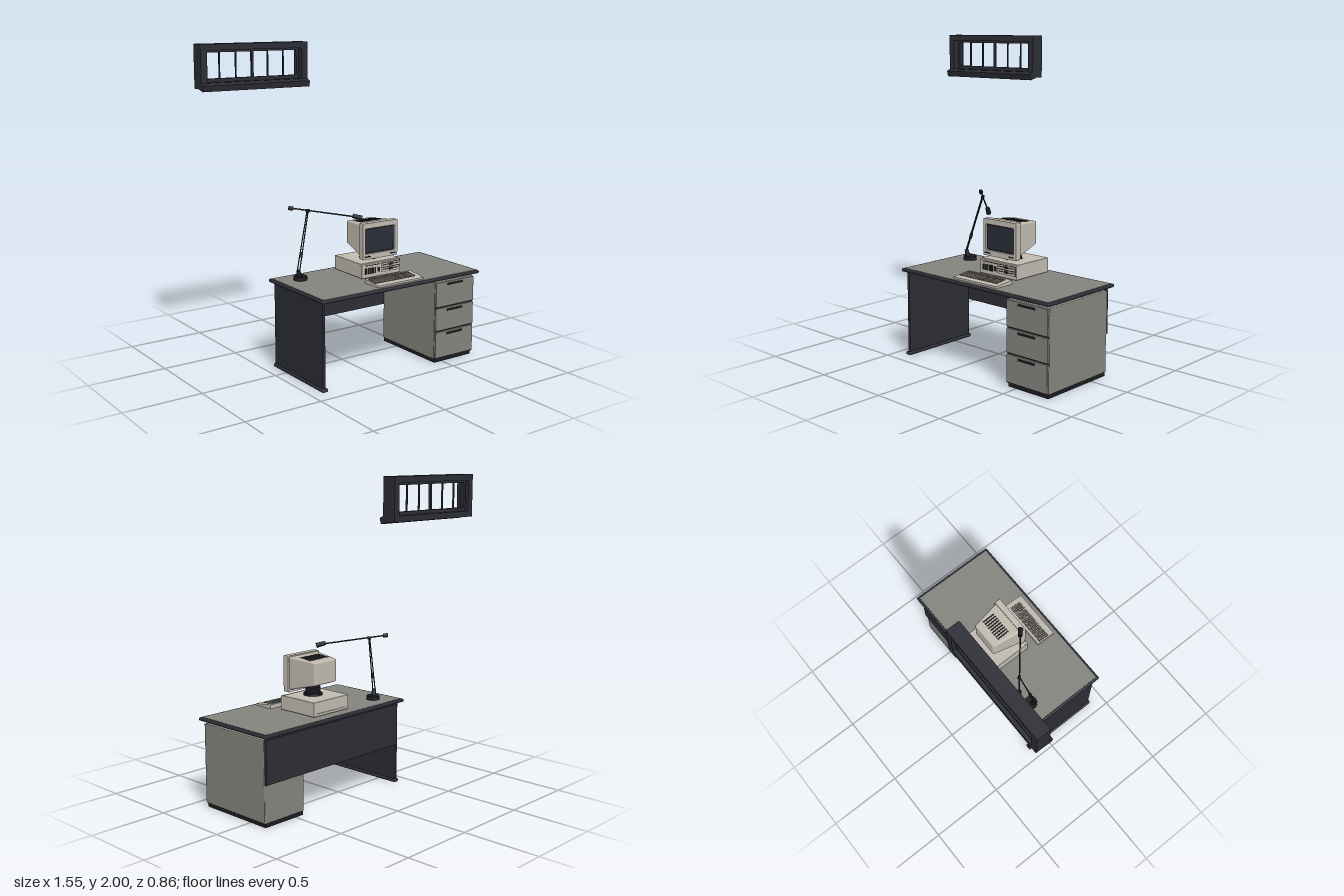
import * as THREE from 'three';
import { mergeGeometries } from 'three/addons/utils/BufferGeometryUtils.js';
import { RoundedBoxGeometry } from 'three/addons/geometries/RoundedBoxGeometry.js';

const mat = (name, color) => {
  const m = new THREE.MeshStandardMaterial({ color });
  m.name = name;
  return m;
};

export function createModel() {
  const grey = mat('desk grey', 0x82837c);
  const dark = mat('dark navy', 0x2c2c35);
  const black = mat('black', 0x1b1b20);
  const cream = mat('cream plastic', 0xbfb9ae);
  const keyGrey = mat('key grey', 0x8f8a81);
  const glass = mat('screen glass', 0x2a2c38);

  const root = new THREE.Group();
  const group = (name) => {
    const g = new THREE.Group();
    g.name = name;
    root.add(g);
    return g;
  };
  const add = (parent, name, geo, m) => {
    const mesh = new THREE.Mesh(geo, m);
    mesh.name = name;
    parent.add(mesh);
    return mesh;
  };
  // box given by its limits, optionally with rounded edges
  const box = (parent, name, m, [x0, x1], [y0, y1], [z0, z1], r = 0) => {
    const s = [x1 - x0, y1 - y0, z1 - z0];
    const mesh = add(parent, name, r ? new RoundedBoxGeometry(...s, 2, r) : new THREE.BoxGeometry(...s), m);
    mesh.position.set((x0 + x1) / 2, (y0 + y1) / 2, (z0 + z1) / 2);
    return mesh;
  };
  // profile of [z, y] points swept along x
  const prism = (parent, name, m, points, x0, x1) => {
    const shape = new THREE.Shape(points.map((p) => new THREE.Vector2(...p)));
    const geo = new THREE.ExtrudeGeometry(shape, { depth: x1 - x0, bevelEnabled: false });
    return add(parent, name, geo.rotateY(-Math.PI / 2).translate(x1, 0, 0), m);
  };
  // round bar between two points
  const rod = (parent, name, m, a, b, r, r2 = r) => {
    const p = new THREE.Vector3(...a), q = new THREE.Vector3(...b);
    const d = q.clone().sub(p);
    const mesh = add(parent, name, new THREE.CylinderGeometry(r2, r, d.length(), 12), m);
    mesh.position.copy(p).add(q).multiplyScalar(0.5);
    mesh.quaternion.setFromUnitVectors(new THREE.Vector3(0, 1, 0), d.normalize());
    return mesh;
  };
  const roundRect = (T, x0, x1, y0, y1, r) => {
    const s = new T();
    s.moveTo(x0 + r, y0);
    s.lineTo(x1 - r, y0); s.quadraticCurveTo(x1, y0, x1, y0 + r);
    s.lineTo(x1, y1 - r); s.quadraticCurveTo(x1, y1, x1 - r, y1);
    s.lineTo(x0 + r, y1); s.quadraticCurveTo(x0, y1, x0, y1 - r);
    s.lineTo(x0, y0 + r); s.quadraticCurveTo(x0, y0, x0 + r, y0);
    return s;
  };
  // rectangular frame with an opening
  const frame = (parent, name, m, [x0, x1, y0, y1], [a0, a1, b0, b1], [z0, z1], r = 0.001) => {
    const s = roundRect(THREE.Shape, x0, x1, y0, y1, r);
    s.holes.push(roundRect(THREE.Path, a0, a1, b0, b1, r));
    const geo = new THREE.ExtrudeGeometry(s, { depth: z1 - z0, bevelEnabled: false, curveSegments: 5 });
    return add(parent, name, geo.translate(0, 0, z0), m);
  };

  // ---- desk
  const desk = group('desk');
  box(desk, 'desktopRim', dark, [-0.436, 0.772], [0.544, 0.564], [-0.174, 0.427], 0.008);
  box(desk, 'desktopSurface', grey, [-0.419, 0.755], [0.56, 0.566], [-0.157, 0.41]);
  box(desk, 'sidePanel', dark, [-0.415, -0.398], [0.01, 0.546], [-0.135, 0.395]);
  box(desk, 'sideFoot', dark, [-0.427, -0.385], [0, 0.021], [-0.143, 0.41], 0.009);
  box(desk, 'modestyPanel', dark, [-0.4, 0.745], [0.26, 0.53], [-0.147, -0.132]);

  // ---- drawer cabinet
  const cabinet = group('drawerCabinet');
  box(cabinet, 'cabinetBody', grey, [0.433, 0.749], [0.025, 0.527], [-0.132, 0.392], 0.005);
  box(cabinet, 'plinth', black, [0.44, 0.742], [0, 0.027], [-0.13, 0.39]);
  for (const x of [0.47, 0.69])
    for (const z of [-0.09, 0.33]) box(cabinet, 'spacer', black, [x, x + 0.025], [0.52, 0.548], [z, z + 0.025]);
  for (const [y0, y1] of [[0.364, 0.525], [0.209, 0.356], [0.03, 0.201]]) {
    box(cabinet, 'drawerFront', grey, [0.436, 0.746], [y0, y1], [0.385, 0.404], 0.003);
    box(cabinet, 'drawerHandle', black, [0.526, 0.653], [y1 - 0.024, y1 - 0.011], [0.4, 0.408]);
    box(cabinet, 'drawerGap', black, [0.435, 0.747], [y0 - 0.008, y0 - 0.001], [0.388, 0.394]);
  }

  // ---- computer case
  const pc = group('computerCase');
  box(pc, 'caseBody', cream, [0.017, 0.318], [0.572, 0.663], [-0.105, 0.17], 0.004);
  box(pc, 'caseBezel', cream, [0.017, 0.318], [0.57, 0.66], [0.166, 0.186], 0.004);
  for (const x of [0.04, 0.27])
    for (const z of [-0.08, 0.13]) box(pc, 'caseFoot', black, [x, x + 0.025], [0.565, 0.573], [z, z + 0.025]);
  const facePlate = (name, m, xs, ys) => box(pc, name, m, xs, ys, [0.184, 0.189]);
  facePlate('bezelStripe', black, [0.04, 0.158], [0.646, 0.65]);
  for (let i = 0; i < 5; i++) facePlate('frontVent', black, [0.042 + i * 0.018, 0.054 + i * 0.018], [0.594, 0.632]);
  facePlate('powerSwitch', black, [0.138, 0.156], [0.6, 0.628]);
  for (const y of [0.628, 0.599]) {
    facePlate('driveOutline', black, [0.168, 0.31], [y - 0.006, y + 0.023]);
    box(pc, 'driveFace', cream, [0.171, 0.307], [y - 0.003, y + 0.02], [0.184, 0.191]);
    box(pc, 'driveSlot', black, [0.178, 0.3], [y + 0.007, y + 0.012], [0.186, 0.193]);
    box(pc, 'driveLatch', black, [0.226, 0.25], [y + 0.003, y + 0.016], [0.186, 0.195]);
  }
  box(pc, 'rearPanel', keyGrey, [0.04, 0.295], [0.585, 0.592], [-0.107, -0.1]);

  // ---- monitor
  const monitor = group('monitor');
  const cx = 0.168;
  const shell = new RoundedBoxGeometry(1, 1, 1, 3, 0.06);
  const p = shell.attributes.position;
  for (let i = 0; i < p.count; i++) { // taper towards the back
    const t = 0.5 - p.getZ(i);
    const top = 0.907 - 0.017 * t, bottom = 0.697 + 0.051 * t;
    p.setXYZ(i, cx + p.getX(i) * (0.254 - 0.066 * t), bottom + (p.getY(i) + 0.5) * (top - bottom), 0.14 - 0.198 * t);
  }
  add(monitor, 'monitorShell', shell, cream);
  frame(monitor, 'monitorBezel', cream, [0.035, 0.302, 0.684, 0.912], [0.053, 0.282, 0.718, 0.879], [0.135, 0.175], 0.008);
  box(monitor, 'screenSurround', black, [0.048, 0.287], [0.713, 0.884], [0.137, 0.16]);
  box(monitor, 'screen', glass, [0.06, 0.275], [0.725, 0.873], [0.158, 0.165], 0.003);
  box(monitor, 'badge', black, [0.045, 0.095], [0.697, 0.705], [0.172, 0.177]);
  box(monitor, 'controls', black, [0.245, 0.285], [0.697, 0.705], [0.172, 0.177]);
  for (let i = 0; i < 9; i++) {
    const x = 0.092 + i * 0.0185;
    const slot = box(monitor, 'topVent', black, [x, x + 0.009], [0.896, 0.901], [-0.004, 0.083]);
    slot.rotation.x = -0.087;
  }
  rod(monitor, 'swivelBase', black, [cx, 0.66, 0.055], [cx, 0.676, 0.055], 0.062, 0.058);
  rod(monitor, 'swivelNeck', black, [cx, 0.674, 0.055], [cx, 0.715, 0.055], 0.045, 0.05);

  // ---- keyboard
  const keyboard = group('keyboard');
  prism(keyboard, 'keyboardBody', cream, [[0.388, 0.566], [0.388, 0.577], [0.253, 0.592], [0.253, 0.566]], -0.008, 0.342);
  const topY = (z) => 0.577 + (0.388 - z) * 0.111;
  const keyGeos = [], wellGeos = [];
  const slab = (list, x0, x1, z0, z1, h) => {
    const z = (z0 + z1) / 2;
    list.push(new THREE.BoxGeometry(x1 - x0, h, z1 - z0).rotateX(0.11).translate((x0 + x1) / 2, topY(z), z));
  };
  for (const [x0, x1, n] of [[0.002, 0.19, 14], [0.197, 0.245, 3], [0.252, 0.308, 4]]) {
    slab(wellGeos, x0 - 0.001, x1 + 0.001, 0.289, 0.35, 0.003);
    slab(wellGeos, x0 - 0.001, x1 + 0.001, 0.271, 0.285, 0.003);
    const w = (x1 - x0) / n;
    for (let row = 0; row < 6; row++) {
      const z = row ? 0.278 + row * 0.012 : 0.272;
      for (let i = 0; i < n; i++) {
        if (row === 5 && n === 14 && i > 3 && i < 10) continue;
        slab(keyGeos, x0 + i * w + 0.0015, x0 + (i + 1) * w - 0.0015, z, z + 0.0095, 0.011);
      }
    }
  }
  slab(keyGeos, 0.057, 0.135, 0.338, 0.3475, 0.011);
  add(keyboard, 'keyWells', mergeGeometries(wellGeos), black);
  add(keyboard, 'keys', mergeGeometries(keyGeos), keyGrey);

  // ---- desk lamp
  const lamp = group('deskLamp');
  rod(lamp, 'lampBase', black, [-0.288, 0.564, -0.037], [-0.288, 0.59, -0.037], 0.044, 0.042);
  rod(lamp, 'lampSocket', black, [-0.3, 0.585, -0.03], [-0.31, 0.63, -0.025], 0.017, 0.012);
  const low = [-0.312, 0.615, -0.024], high = [-0.207, 0.988, -0.073];
  for (const d of [-0.007, 0.007])
    rod(lamp, 'lowerArm', black, [low[0] + d, low[1], low[2] + d / 2], [high[0] + d * 0.6, high[1], high[2]], 0.0035);
  rod(lamp, 'armClamp', black, [-0.285, 0.705, -0.036], [-0.276, 0.738, -0.04], 0.01);
  rod(lamp, 'elbow', black, [-0.213, 0.984, -0.083], [-0.201, 0.984, -0.065], 0.01);
  rod(lamp, 'upperArm', black, [-0.288, 0.998, -0.14], [0.01, 0.952, 0.11], 0.0045);
  rod(lamp, 'counterweight', black, [-0.299, 0.999, -0.149], [-0.277, 0.995, -0.13], 0.013);
  rod(lamp, 'lampHead', black, [0.005, 0.957, 0.105], [0.05, 0.942, 0.143], 0.013, 0.016);

  // ---- wall window
  const win = group('window');
  frame(win, 'windowFrame', dark, [-0.775, -0.024, 1.735, 2], [-0.732, -0.066, 1.772, 1.962], [-0.43, -0.342]);
  frame(win, 'windowSash', dark, [-0.74, -0.06, 1.765, 1.97], [-0.716, -0.083, 1.793, 1.948], [-0.408, -0.382]);
  prism(win, 'windowSill', dark, [[-0.342, 1.77], [-0.38, 1.742], [-0.375, 1.734], [-0.325, 1.721], [-0.315, 1.757]], -0.775, -0.024);
  for (let i = -2; i <= 2; i++) {
    const x = -0.399 + i * 0.1125, w = i ? 0.0035 : 0.007;
    box(win, i ? 'windowBar' : 'windowMullion', dark, [x - w, x + w], [1.785, 1.955], [-0.4, i ? -0.39 : -0.384]);
  }

  return root;
}
